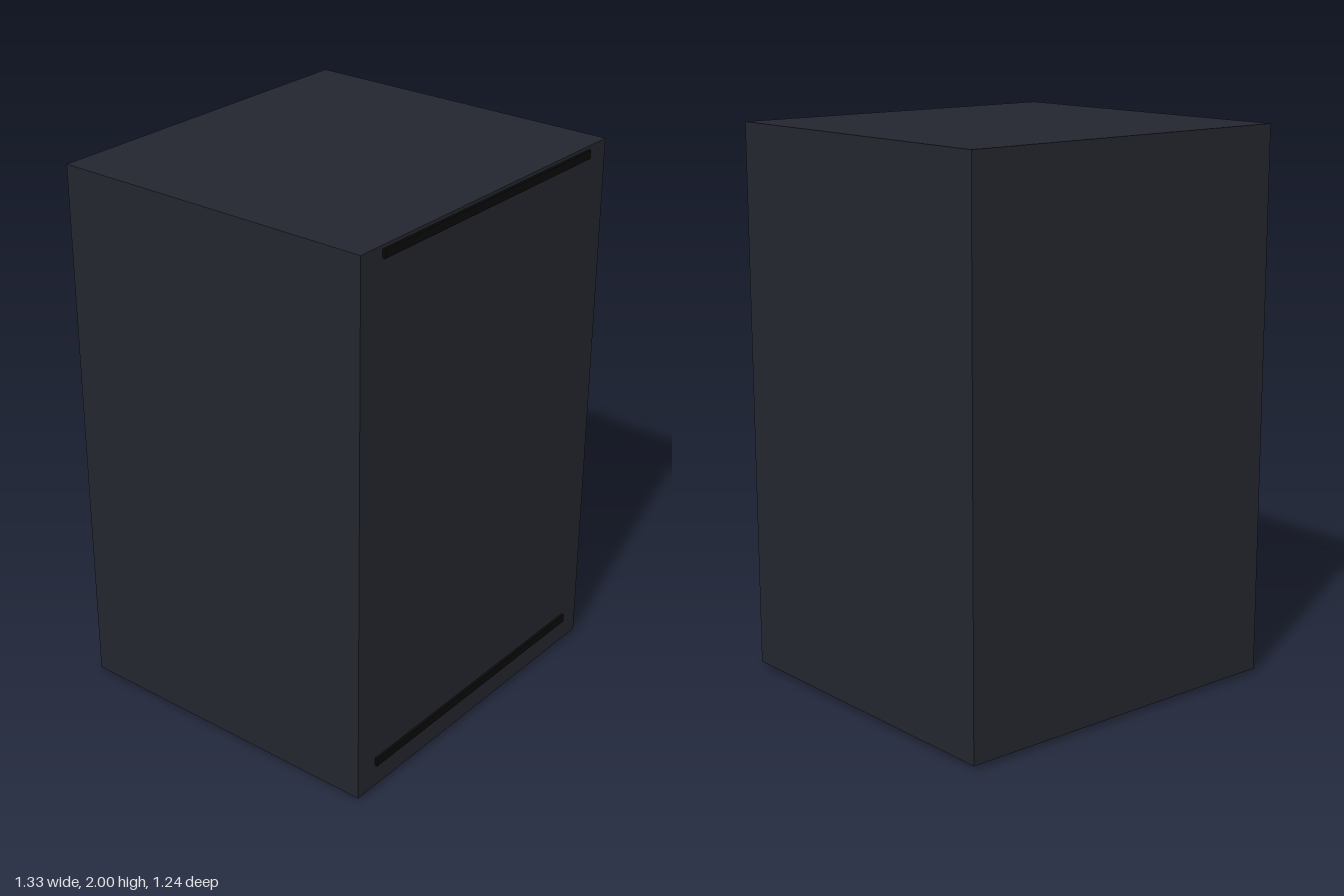
import * as THREE from 'three';

export function createModel() {
  const model = new THREE.Group();
  model.name = 'cabinet';
  const shellMat = new THREE.MeshStandardMaterial({ color: 0x23262e });
  const blackMat = new THREE.MeshStandardMaterial({ color: 0x0a0a0a });

  const add = (name, geometry, material, x, y, z) => {
    const mesh = new THREE.Mesh(geometry, material);
    mesh.name = name;
    mesh.position.set(x, y, z);
    model.add(mesh);
    return mesh;
  };

  // Closed cabinet body
  add('body', new THREE.BoxGeometry(1.33, 1.985, 1.23), shellMat, 0, 1.0075, -0.005);

  // Thin dark strips standing just proud of the front
  add('topStrip', new THREE.BoxGeometry(1.12, 0.03, 0.03), blackMat, 0, 1.973, 0.605);
  add('bottomStrip', new THREE.BoxGeometry(1.146, 0.03, 0.03), blackMat, 0, 0.115, 0.605);

  // Four rollers, mostly sunk into the base
  const r = 0.042;
  const roller = new THREE.CylinderGeometry(r, r, 0.042, 24).rotateZ(Math.PI / 2);
  for (const [side, x] of [['left', 0.558], ['right', -0.558]]) {
    for (const [end, z] of [['Front', 0.507], ['Back', -0.512]]) {
      add(`${side}${end}Roller`, roller, blackMat, x, r, z);
    }
  }
  return model;
}
